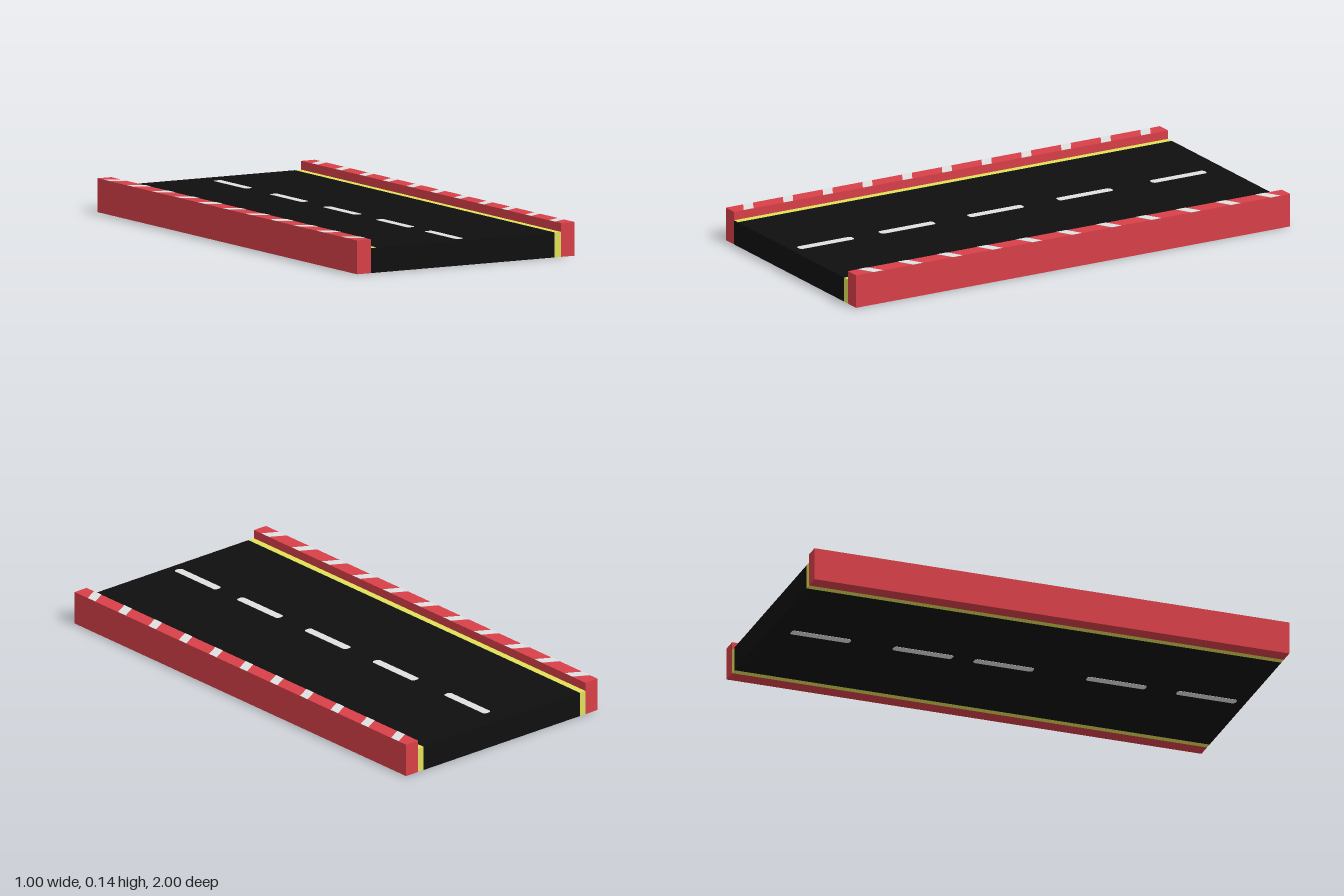
import * as THREE from 'three';

const material = (name, color) => {
  const m = new THREE.MeshStandardMaterial({ color });
  m.name = name;
  return m;
};

export function createModel() {
  const model = new THREE.Group();
  model.name = 'roadSegment';
  const asphalt = material('black asphalt', 0x0f0f0f);
  const red = material('kerb red', 0xd84048);
  const yellow = material('line yellow', 0xe0e058);
  const white = material('marking white', 0xe0e0e0);

  const add = (name, geometry, mat, x, y, z) => {
    const mesh = new THREE.Mesh(geometry, mat);
    mesh.name = name;
    mesh.position.set(x, y, z);
    model.add(mesh);
    return mesh;
  };

  // Flat outline given in (x, z), extruded upward into a thin plate
  const plate = (points, thickness) => {
    const shape = new THREE.Shape(points.map(([x, z]) => new THREE.Vector2(x, -z)));
    return new THREE.ExtrudeGeometry(shape, { depth: thickness, bevelEnabled: false })
      .rotateX(-Math.PI / 2);
  };

  // Road slab
  add('roadSlab', new THREE.BoxGeometry(0.816, 0.1, 2), asphalt, 0, 0.05, 0);

  for (const side of [-1, 1]) {
    const label = side > 0 ? 'left' : 'right';

    // Raised kerb and the yellow edge line running full depth through the slab
    add(label + 'Kerb', new THREE.BoxGeometry(0.063, 0.135, 2), red, side * 0.4685, 0.0675, 0);
    const front = side > 0 ? yellow : asphalt;
    add(label + 'EdgeLine', new THREE.BoxGeometry(0.029, 0.1, 2),
      [yellow, yellow, yellow, yellow, front, yellow], side * 0.4225, 0.05, 0);

    // Slanted stripes on top of the kerb
    const inner = side * 0.437, outer = side * 0.5;
    const stripe = plate([
      [outer, -0.04], [inner, -0.005], [inner, 0.04], [outer, 0.005],
    ], 0.001);
    for (let i = -5; i <= 5; i++) {
      add(label + 'KerbStripe', stripe, white, 0, 0.135, i * 0.183);
    }
  }

  // Centre line dashes with clipped corners, on the top and underside
  const w = 0.018, h = 0.125, c = 0.008;
  const dash = plate([
    [-w, -h + c], [-w + c, -h], [w - c, -h], [w, -h + c],
    [w, h - c], [w - c, h], [-w + c, h], [-w, h - c],
  ], 0.001);
  for (const z of [-0.787, -0.355, 0.055, 0.463, 0.838]) {
    add('centreDash', dash, white, -0.004, 0.1, z);
  }
  for (const z of [-0.79, -0.36, -0.02, 0.455, 0.835]) {
    add('undersideDash', dash, white, -0.004, -0.001, z);
  }
  return model;
}
